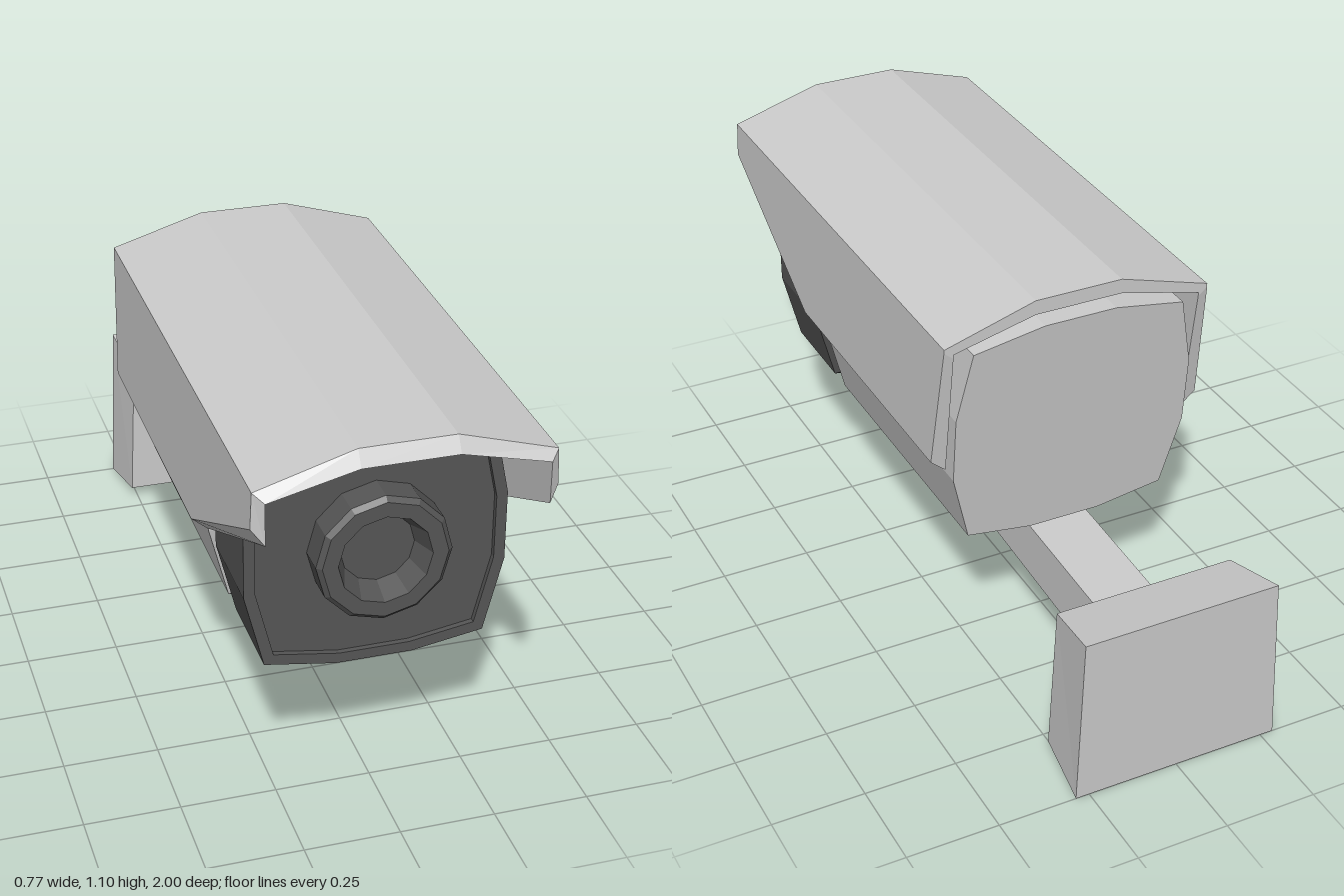
import * as THREE from 'three';

const grey = new THREE.MeshStandardMaterial({ color: 0xcccccc, flatShading: true });
const dark = new THREE.MeshStandardMaterial({ color: 0x555555, flatShading: true });

// Skin a list of counter-clockwise rings running from back to front and cap both ends.
// Caps join opposite points of the ring, so they also close U-shaped sections.
function loft(name, rings, material) {
  const pos = [];
  const quad = (a, b, c, d) => pos.push(...a, ...b, ...c, ...a, ...c, ...d);
  const n = rings[0].length;
  for (let k = 0; k < rings.length - 1; k++) {
    const p = rings[k], q = rings[k + 1];
    for (let j = 0; j < n; j++) {
      const m = (j + 1) % n;
      quad(p[j], p[m], q[m], q[j]);
    }
  }
  const back = rings[0], front = rings[rings.length - 1];
  for (let i = 0; i < n / 2 - 1; i++) {
    quad(back[n - 1 - i], back[n - 2 - i], back[i + 1], back[i]);
    quad(front[i], front[i + 1], front[n - 2 - i], front[n - 1 - i]);
  }
  const geo = new THREE.BufferGeometry();
  geo.setAttribute('position', new THREE.Float32BufferAttribute(pos, 3));
  geo.computeVertexNormals();
  const mesh = new THREE.Mesh(geo, material);
  mesh.name = name;
  return mesh;
}

// Add the mirrored -x half to a list of right-hand points.
const mirrored = (half) => [...half, ...half.map(([x, y, z]) => [-x, y, z]).reverse()];

// Four-cornered ring given by its bottom and top edges, each [halfWidth, y, z].
const band = (bottom, top) => mirrored([bottom, top]);

// Twelve-sided housing section, scaled about the lens axis.
const LENS_Y = 0.7;
const HALF = [[0.1, 0.375], [0.285, 0.405], [0.335, 0.605], [0.335, 0.795], [0.295, 0.99], [0.1, 1.025]];
function section(z, s = 1) {
  return mirrored(HALF.map(([x, y]) => {
    const yy = LENS_Y + (y - LENS_Y) * s;
    return [x * s, yy, typeof z === 'function' ? z(yy) : z];
  }));
}

// U-shaped hood section: outer skin over the top, inner skin back again.
function hoodSection(zOuter, zInner, yOuter, yInner) {
  const outer = mirrored([
    [0.37 + (1.02 - yOuter) * 0.043, yOuter, zOuter], [0.37, 1.02, zOuter], [0.12, 1.095, zOuter]]);
  const inner = mirrored([
    [0.345, yInner, zInner], [0.345, 1.0, zInner], [0.12, 1.055, zInner]]);
  return [...outer, ...inner.reverse()];
}

export function createModel() {
  const model = new THREE.Group();
  model.name = 'securityCamera';

  // Housing with a leaning back and a bevelled front edge
  model.add(loft('housing', [
    section((y) => -0.38 - (y - 0.375) * 0.108),
    section(0.435),
    section(0.468, 0.9),
  ], grey));

  // Dark front section with a rim and recessed face
  model.add(loft('frontCover', [
    section(0.466, 0.9),
    section(0.508),
    section(0.77),
    section(0.77, 0.915),
    section(0.755, 0.915),
  ], dark));

  // Lens barrel with a tapered opening
  const profile = [[0.173, 0.74], [0.173, 0.83], [0.16, 0.842], [0.12, 0.842], [0.095, 0.775], [0, 0.775]]
    .map(([r, z]) => new THREE.Vector2(r, z));
  const lens = new THREE.Mesh(new THREE.LatheGeometry(profile, 12), dark);
  lens.name = 'lens';
  lens.rotation.x = Math.PI / 2;
  lens.position.y = LENS_Y;
  model.add(lens);

  // Sun hood with cut-back sides
  model.add(loft('sunHood', [
    hoodSection(-0.437, -0.437, 1.01, 0.99),
    hoodSection(-0.38, -0.38, 0.662, 0.628),
    hoodSection(0.46, 0.46, 0.662, 0.628),
    hoodSection(0.975, 1.0, 0.925, 0.89),
  ], grey));

  // Tapered foot under the housing
  model.add(loft('mountFoot', [
    band([0.125, 0.247, -0.2], [0.2, 0.4, -0.305]),
    band([0.125, 0.258, 0.115], [0.2, 0.4, 0.21]),
  ], grey));

  // Arm to the wall
  model.add(loft('arm', [
    band([0.085, 0.165, -0.82], [0.085, 0.33, -0.82]),
    band([0.085, 0.207, -0.06], [0.085, 0.358, -0.05]),
  ], grey));

  // Wall base
  model.add(loft('wallBase', [
    band([0.287, 0, -1], [0.27, 0.475, -1]),
    band([0.267, 0.03, -0.81], [0.248, 0.435, -0.81]),
  ], grey));

  return model;
}
